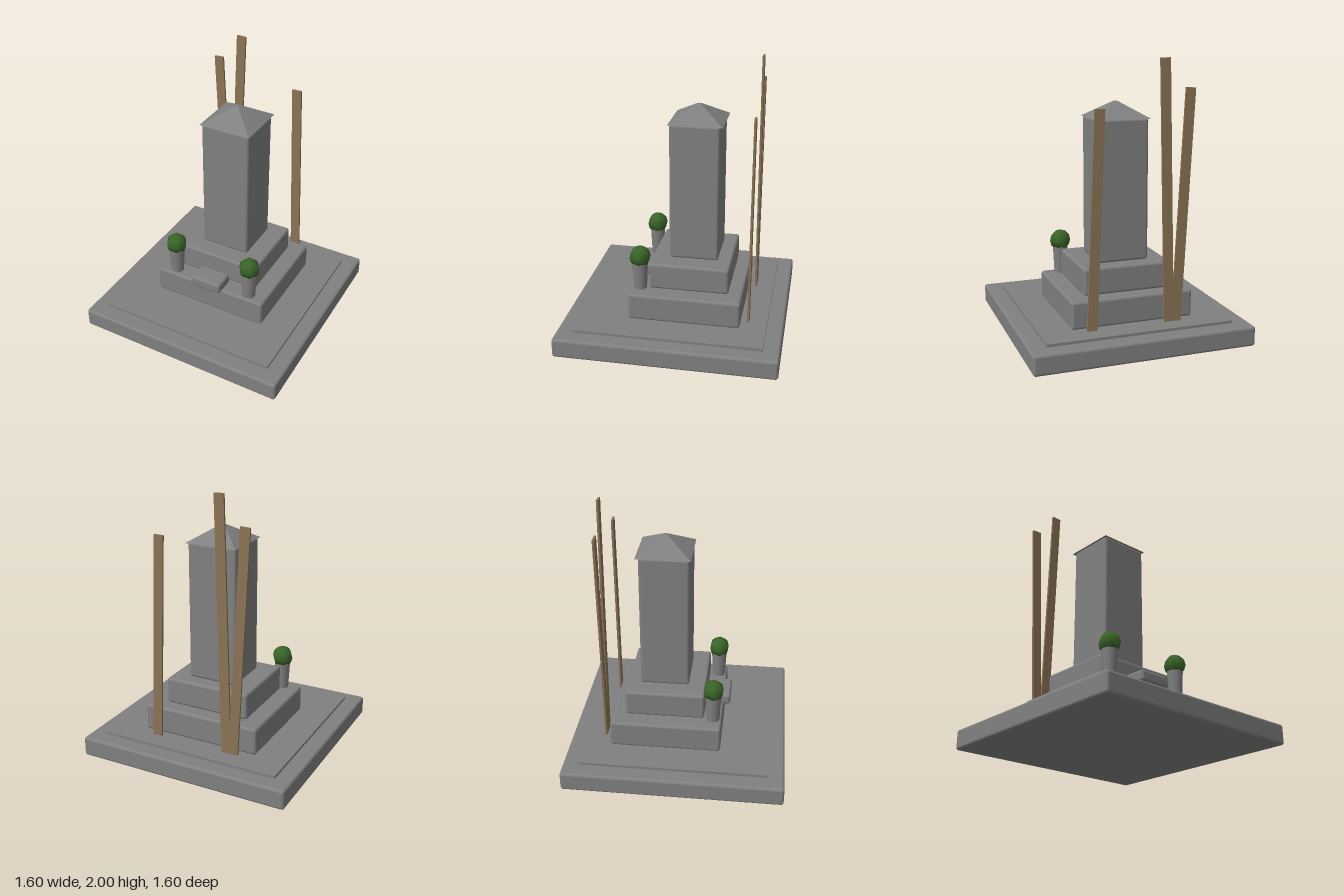
import * as THREE from 'three';
import { RoundedBoxGeometry } from 'three/addons/geometries/RoundedBoxGeometry.js';

const material = (name, color) => Object.assign(new THREE.MeshStandardMaterial({ color }), { name });

export function createModel() {
  const model = new THREE.Group();
  model.name = 'stoneMonument';
  const stone = material('stone', 0x808080);
  const wood = material('wood', 0x8b7355);
  const leaf = material('leaf', 0x3a6428);
  const foliage = leaf;

  function add(name, geometry, mat, x, y, z) {
    const mesh = new THREE.Mesh(geometry, mat);
    mesh.name = name;
    mesh.position.set(x, y, z);
    model.add(mesh);
    return mesh;
  }

  // Rounded stone block between y0 and y1
  function block(name, width, depth, y0, y1, z) {
    const geometry = new RoundedBoxGeometry(width, y1 - y0, depth, 3, 0.02);
    add(name, geometry, stone, 0, (y0 + y1) / 2, z);
  }

  // Ground slab and its thin paving layer
  block('groundSlab', 1.6, 1.6, 0, 0.145, 0);
  add('paving', new THREE.BoxGeometry(1.36, 0.03, 1.36), stone, 0, 0.149, 0);

  // Stepped pedestal, pillar and offering stone
  block('lowerStep', 0.895, 0.815, 0.16, 0.36, -0.083);
  block('upperStep', 0.65, 0.585, 0.36, 0.556, -0.098);
  block('pillar', 0.374, 0.36, 0.556, 1.575, -0.112);
  block('offeringStone', 0.24, 0.165, 0.36, 0.443, 0.292);

  // Pyramid cap with a tiny flat tip
  const cap = new THREE.CylinderGeometry(0.018, 0.277, 0.115, 4).toNonIndexed();
  cap.rotateY(Math.PI / 4);
  cap.computeVertexNormals();
  add('pyramidCap', cap, stone, 0, 1.628, -0.117);

  // Pair of flower vases with clipped foliage
  for (const side of [-1, 1]) {
    const x = side * 0.31;
    add('vase', new THREE.CylinderGeometry(0.058, 0.048, 0.2, 12), stone, x, 0.458, 0.26);
    add('foliage', new THREE.SphereGeometry(0.08, 6, 6), foliage, x, 0.607, 0.26);
  }

  // Leaning wooden tablets: bottom x, top x, top y
  for (const [x0, x1, top] of [[-0.3, -0.385, 1.8], [-0.247, -0.197, 2], [0.32, 0.262, 1.675]]) {
    const rise = top - 0.162;
    const geometry = new THREE.BoxGeometry(0.072, Math.hypot(rise, x1 - x0), 0.015);
    const tablet = add('woodenTablet', geometry, wood, (x0 + x1) / 2, 0.162 + rise / 2, -0.542);
    tablet.rotation.z = Math.atan2(x0 - x1, rise);
  }
  return model;
}
